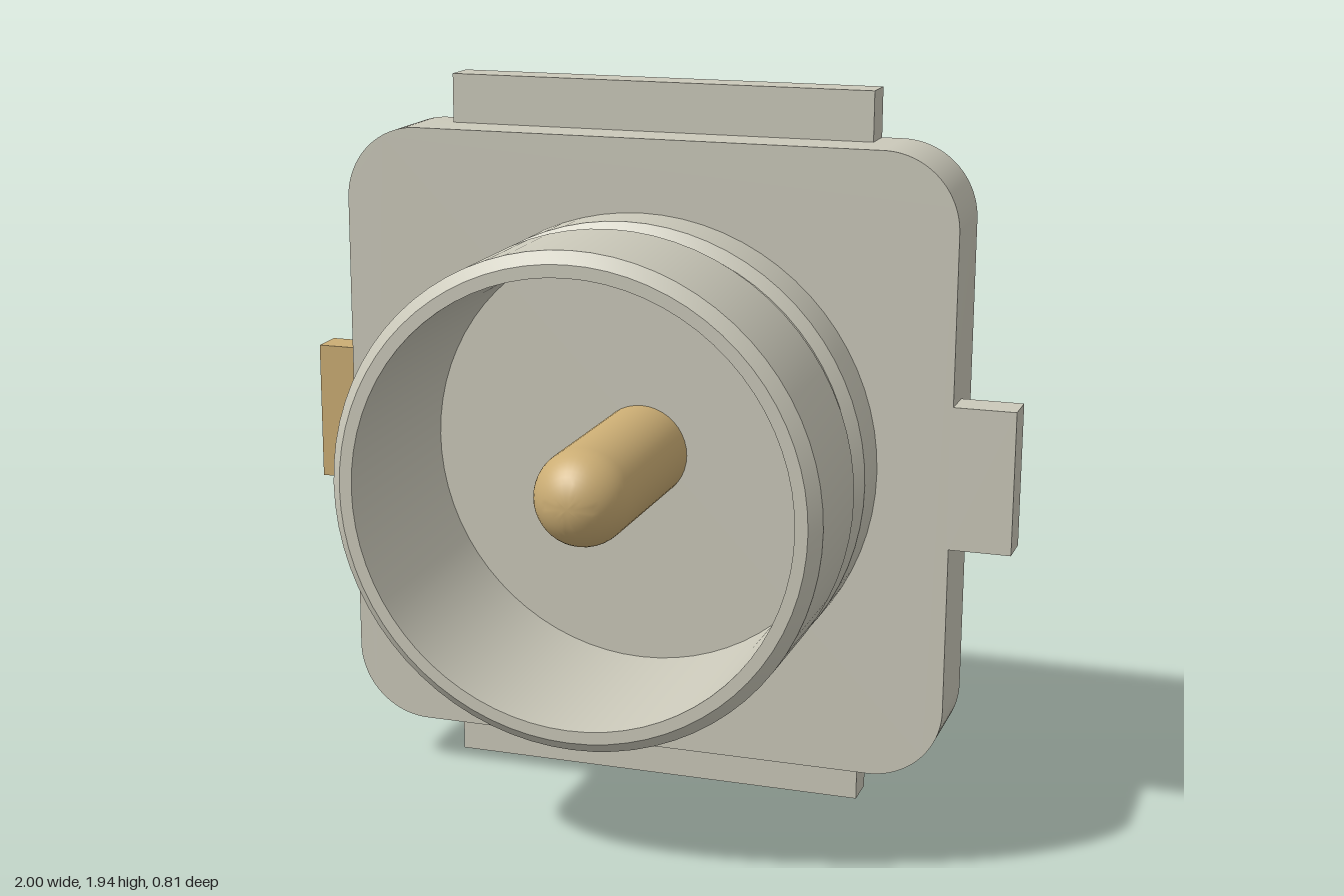
import * as THREE from 'three';
import { toCreasedNormals } from 'three/addons/utils/BufferGeometryUtils.js';

const CY = 0.97;              // height of the connector axis
const BACK = -0.405, FACE = -0.18; // back and front of the base plate
const HALF = 0.837;           // half width of the base plate

export function createModel() {
  const model = new THREE.Group();
  const silver = new THREE.MeshStandardMaterial({ color: 0xcbc9ba });
  silver.name = 'silver metal';
  const gold = new THREE.MeshStandardMaterial({ color: 0xcbad74 });
  gold.name = 'gold contact';

  const add = (name, geometry, material) => {
    const mesh = new THREE.Mesh(geometry, material);
    mesh.name = name;
    model.add(mesh);
    return mesh;
  };

  // A box given by its limits on each axis
  const block = (name, material, x0, x1, y0, y1, z0, z1) =>
    add(name, new THREE.BoxGeometry(x1 - x0, y1 - y0, z1 - z0), material)
      .position.set((x0 + x1) / 2, (y0 + y1) / 2, (z0 + z1) / 2);

  // A profile of [radius, z] turned around the connector axis
  const turned = (name, material, profile, segments) => {
    const points = profile.map(([r, z]) => new THREE.Vector2(r, z));
    const geometry = new THREE.LatheGeometry(points, segments).rotateX(Math.PI / 2);
    add(name, toCreasedNormals(geometry, 0.5), material).position.y = CY;
  };

  // Base plate with rounded corners
  const h = HALF, r = 0.2;
  const outline = new THREE.Shape();
  outline.absarc(h - r, h - r, r, 0, Math.PI / 2);
  outline.absarc(r - h, h - r, r, Math.PI / 2, Math.PI);
  outline.absarc(r - h, r - h, r, Math.PI, Math.PI * 1.5);
  outline.absarc(h - r, r - h, r, Math.PI * 1.5, Math.PI * 2);
  outline.closePath();
  const plate = new THREE.ExtrudeGeometry(outline, {
    depth: FACE - BACK, bevelEnabled: false, curveSegments: 14,
  });
  add('basePlate', toCreasedNormals(plate, 0.5), silver).position.set(0, CY, BACK);

  // Solder tabs
  block('topTab', silver, -0.58, 0.58, CY + h, 1.938, BACK, -0.31);
  block('bottomTab', silver, -0.58, 0.58, 0, CY - h, BACK, -0.31);
  block('leftTab', silver, h, 1, 0.78, 1.16, -0.28, FACE);
  block('signalTab', gold, -1, -h, 0.78, 1.16, BACK, -0.31);

  // Hollow barrel with a snap groove and chamfered rim
  turned('barrel', silver, [
    [0.643, FACE], [0.643, -0.047], [0.615, -0.022], [0.615, 0.042],
    [0.643, 0.067], [0.643, 0.372], [0.613, 0.402], [0.58, 0.402], [0.58, FACE],
  ], 72);

  // Centre pin with a domed tip
  const pin = [[0.127, FACE]];
  for (let i = 0; i <= 12; i++) {
    const a = (i / 12) * Math.PI / 2;
    pin.push([0.127 * Math.cos(a), 0.275 + 0.127 * Math.sin(a)]);
  }
  turned('centrePin', gold, pin, 40);

  return model;
}
